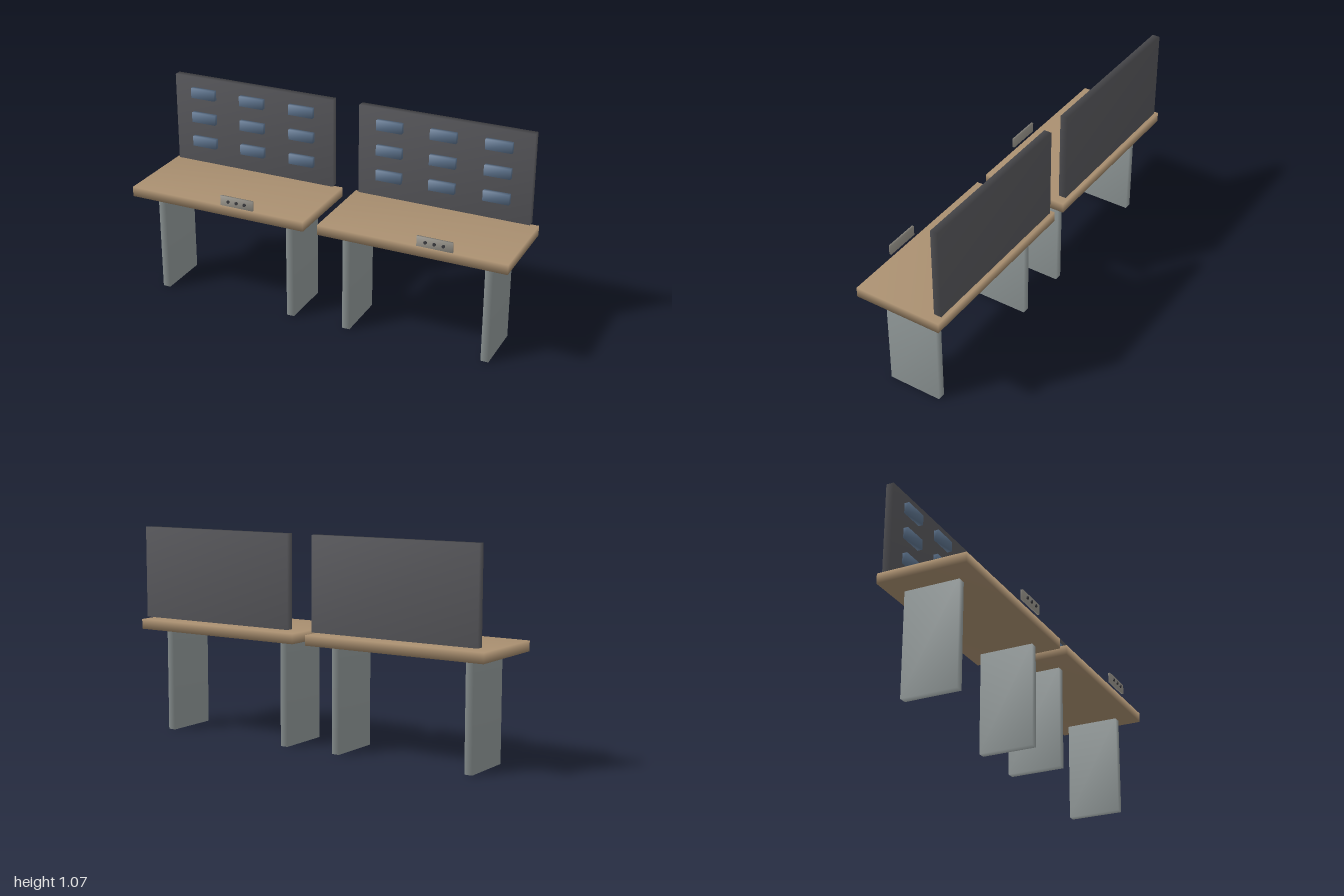
import * as THREE from 'three';
import { mergeVertices } from 'three/addons/utils/BufferGeometryUtils.js';

const material = (color) => new THREE.MeshStandardMaterial({ color });

// Box between two corners, with normals blended across its edges
function softBox(name, mat, [x0, x1], [y0, y1], [z0, z1]) {
  let geo = new THREE.BoxGeometry(x1 - x0, y1 - y0, z1 - z0);
  geo.deleteAttribute('normal');
  geo.deleteAttribute('uv');
  geo = mergeVertices(geo);
  geo.computeVertexNormals();
  const mesh = new THREE.Mesh(geo, mat);
  mesh.name = name;
  mesh.position.set((x0 + x1) / 2, (y0 + y1) / 2, (z0 + z1) / 2);
  return mesh;
}

export function createModel() {
  const wood = material(0xa98f70);
  const metal = material(0x8f9797);
  const board = material(0x56565a);
  const binBlue = material(0x5c728c);
  const plate = material(0x99958c);
  const dark = material(0x3a3a3e);

  // One workbench, centred on x = 0
  function workbench(name) {
    const bench = new THREE.Group();
    bench.name = name;

    bench.add(softBox('desktop', wood, [-0.481, 0.481], [0.534, 0.585], [-0.236, 0.216]));

    // Slab legs
    for (const side of [-1, 1]) {
      const x = side * 0.365;
      bench.add(softBox(side < 0 ? 'rightLeg' : 'leftLeg', metal,
        [x - 0.02, x + 0.02], [0, 0.52], [-0.148, 0.13]));
    }

    // Upright back board with a 3 x 3 set of bins
    bench.add(softBox('backPanel', board, [-0.448, 0.448], [0.6, 1.065], [-0.23, -0.191]));
    for (let row = 0; row < 3; row++) {
      for (let col = -1; col <= 1; col++) {
        const x = col * 0.279;
        const y = 0.719 + row * 0.1325;
        bench.add(softBox('bin', binBlue,
          [x - 0.067, x + 0.067], [y - 0.026, y + 0.026], [-0.191, -0.167]));
      }
    }

    // Control plate at the front edge, with three round buttons
    bench.add(softBox('controlPlate', plate, [0.038, 0.217], [0.594, 0.645], [0.22, 0.231]));
    for (let i = -1; i <= 1; i++) {
      const button = new THREE.Mesh(new THREE.CylinderGeometry(0.008, 0.008, 0.008, 16), dark);
      button.name = 'controlButton';
      button.rotation.x = Math.PI / 2;
      button.position.set(0.1275 + i * 0.045, 0.62, 0.233);
      bench.add(button);
    }
    return bench;
  }

  const model = new THREE.Group();
  model.name = 'workbenchPair';
  for (const side of [-1, 1]) {
    const bench = workbench(side < 0 ? 'rightWorkbench' : 'leftWorkbench');
    bench.position.x = side * 0.519;
    model.add(bench);
  }
  return model;
}
